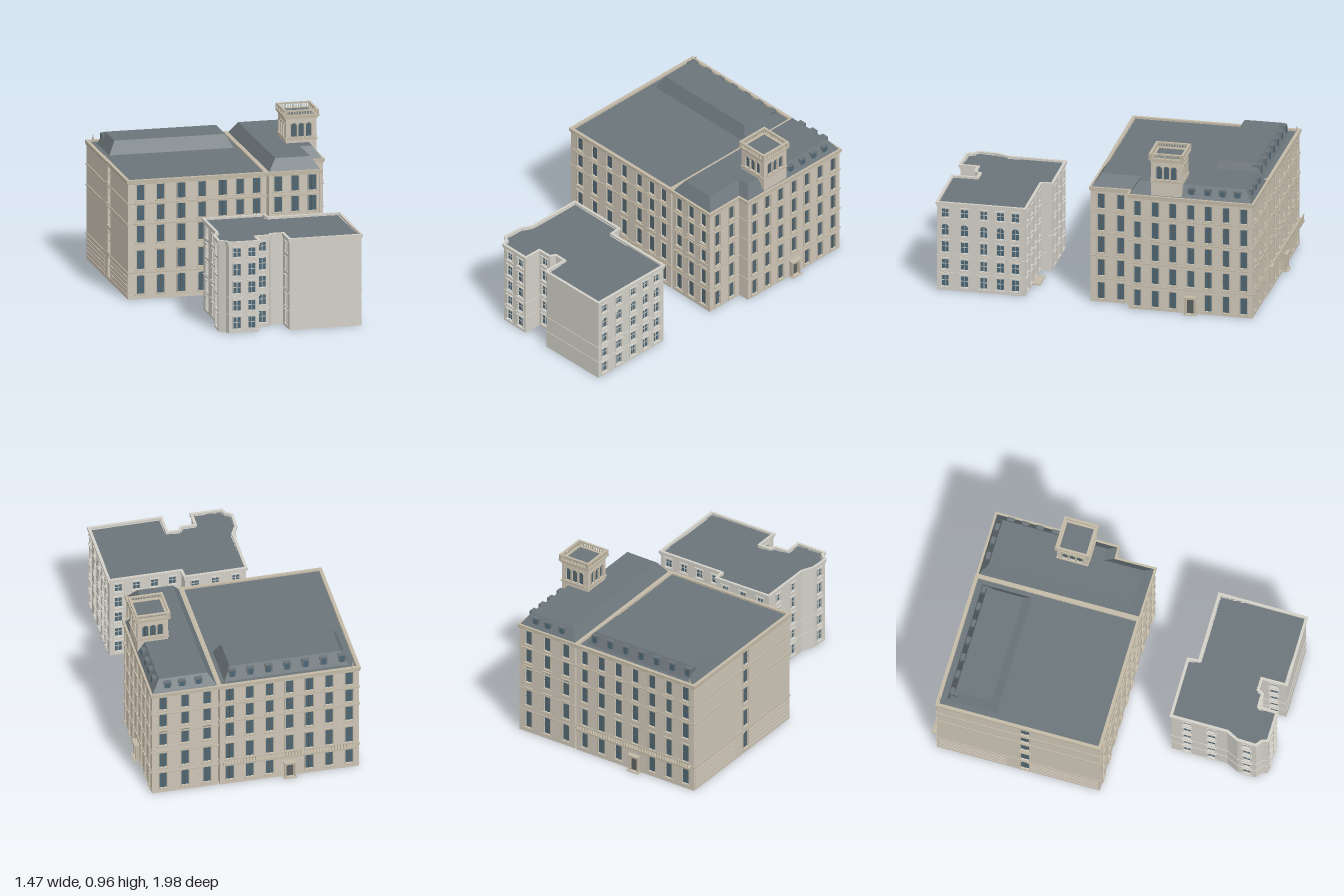
import * as THREE from 'three';
import { mergeGeometries } from 'three/addons/utils/BufferGeometryUtils.js';

const mat = (color) => new THREE.MeshStandardMaterial({ color, side: THREE.DoubleSide, flatShading: true });
const M = {
  stone: mat(0xcfc6b8), pale: mat(0xd2d0c7), trim: mat(0xc2b9a6),
  roof: mat(0x6b757a), glass: mat(0x4c6675), frame: mat(0x5a5f5e), light: mat(0xbfc2bd),
};

// Outlines as [x, z], running front left, front right, back right, back left
const MAIN = [[-0.567, 0.174], [0.25, 0.03], [0.082, -0.934], [-0.736, -0.794]];
const WING = [[0.246, 0.03], [0.567, -0.022], [0.525, -0.253], [0.594, -0.267], [0.472, -0.997], [0.075, -0.929]];
const TOWER = [[0.372, -0.36], [0.567, -0.394], [0.533, -0.588], [0.338, -0.554]];
const ANNEX = [[-0.05, 0.987], [0.14, 0.955], [0.124, 0.85], [0.203, 0.834], [0.214, 0.8], [0.272, 0.79],
  [0.298, 0.934], [0.73, 0.855], [0.64, 0.332], [0.224, 0.406], [0.208, 0.343], [-0.16, 0.41],
  [-0.103, 0.744], [-0.124, 0.818], [-0.108, 0.934], [-0.066, 0.955]];

// Floors as [sill, head, arch rise as a share of the width]
const MAIN_ROWS = [[0.03, 0.14, 0.2], [0.175, 0.285, 0], [0.33, 0.43, 0], [0.46, 0.55, 0], [0.58, 0.67, 0]];
const WING_ROWS = [[0.02, 0.12, 0], [0.16, 0.26, 0], [0.3, 0.4, 0], [0.435, 0.535, 0], [0.57, 0.66, 0]];
const ANNEX_ROWS = [[0.025, 0.093, 0], [0.13, 0.19, 0], [0.232, 0.298, 0], [0.335, 0.405, 0], [0.445, 0.497, 0]];
const ANNEX_ARCHED = ANNEX_ROWS.map((r, i) => (i === 3 ? [r[0], r[1], 0.5] : r));

const even = (n, m = 0.5) => Array.from({ length: n }, (_, i) => (i + m) / (n - 1 + 2 * m));

function mesh(parent, name, geos, material) {
  if (!geos.length) return;
  const m = new THREE.Mesh(mergeGeometries(geos.map((g) => (g.index ? g.toNonIndexed() : g))), material);
  m.name = name;
  parent.add(m);
}
const box = (w, h, d, x, y, z) => new THREE.BoxGeometry(w, h, d).translate(x, y, z);
const extrude = (shape, depth, z = 0) =>
  new THREE.ExtrudeGeometry(shape, { depth, bevelEnabled: false, curveSegments: 8 }).translate(0, 0, z);

// Mitred offset of an outline, positive outwards
function offset(poly, o) {
  const n = poly.length;
  const normal = (i) => {
    const a = poly[(i + n) % n], b = poly[(i + 1) % n], l = Math.hypot(b[0] - a[0], b[1] - a[1]);
    return [(a[1] - b[1]) / l, (b[0] - a[0]) / l];
  };
  return poly.map((p, i) => {
    const u = normal(i - 1), v = normal(i), k = o / (1 + u[0] * v[0] + u[1] * v[1]);
    return [p[0] + (u[0] + v[0]) * k, p[1] + (u[1] + v[1]) * k];
  });
}
const plan = (poly) => new THREE.Shape(poly.map(([x, z]) => new THREE.Vector2(x, -z)));
const slab = (poly, y, h) => extrude(plan(poly), h).rotateX(-Math.PI / 2).translate(0, y, 0);
function ring(poly, out, inn, y, h) {
  const s = plan(offset(poly, out));
  s.holes.push(plan(offset(poly, -inn)));
  return extrude(s, h).rotateX(-Math.PI / 2).translate(0, y, 0);
}

// Sloped roof skirt with a flat cap
function mansard(poly, inset, y0, y1) {
  const top = offset(poly, -inset), pos = [];
  poly.forEach((a, i) => {
    const j = (i + 1) % poly.length, b = poly[j], c = top[j], d = top[i];
    pos.push(a[0], y0, a[1], b[0], y0, b[1], c[0], y1, c[1], a[0], y0, a[1], c[0], y1, c[1], d[0], y1, d[1]);
  });
  const g = new THREE.BufferGeometry();
  g.setAttribute('position', new THREE.Float32BufferAttribute(pos, 3));
  g.setAttribute('uv', new THREE.Float32BufferAttribute(new Array(pos.length / 3 * 2).fill(0), 2));
  g.computeVertexNormals();
  return [g, slab(top, y1 - 0.003, 0.003)];
}

function opening(Type, x, y0, y1, w, rise, m = 0) {
  const p = new Type(), r = w / 2 + m, h = rise * w;
  p.moveTo(x - r, y0 - m);
  p.lineTo(x + r, y0 - m);
  p.lineTo(x + r, y1 - h + m);
  if (h) p.absellipse(x, y1 - h + m, r, h, 0, Math.PI, false);
  else p.lineTo(x - r, y1 + m);
  p.closePath();
  return p;
}

// One wall, local x along it and local z outwards, with windows cut through
function facade(parent, name, a, b, o) {
  const { y0 = 0, y1, cols = [], rows = [], w = 0.045, wall = M.stone, frame = M.frame, dormers = [], dormerZ = -0.035, skip } = o;
  const L = Math.hypot(b[0] - a[0], b[1] - a[1]), g = new THREE.Group();
  g.name = name;
  g.position.set(a[0], 0, a[1]);
  g.rotation.y = Math.atan2(a[1] - b[1], b[0] - a[0]);
  const shape = new THREE.Shape([[0, y0], [L, y0], [L, y1], [0, y1]].map((p) => new THREE.Vector2(...p)));
  const glass = [], bars = [], trim = [];
  cols.forEach((c, ci) => rows.forEach(([s, t, rise], ri) => {
    if (skip && skip(ci, ri)) return;
    const x = c * L, h = t - s;
    shape.holes.push(opening(THREE.Path, x, s, t, w, rise));
    glass.push(new THREE.ShapeGeometry(opening(THREE.Shape, x, s, t, w, rise), 6).translate(0, 0, -0.008));
    bars.push(box(0.004, h, 0.003, x, s + h / 2, -0.006), box(w, 0.003, 0.003, x, s + h * 0.52, -0.006));
    const surround = opening(THREE.Shape, x, s, t, w, rise, 0.005);
    surround.holes.push(opening(THREE.Path, x, s, t, w, rise));
    trim.push(extrude(surround, 0.004), box(w + 0.02, 0.006, 0.01, x, s - 0.005, 0.004));
    if (!rise && w > 0.04) trim.push(box(w + 0.016, 0.006, 0.01, x, t + 0.008, 0.004));
  }));
  // Dormers standing on the roof slope behind the wall
  const cheeks = dormers.map((c) => box(0.042, 0.06, 0.05, c * L, 0.725, dormerZ - 0.01));
  dormers.forEach((c) => glass.push(box(0.026, 0.04, 0.002, c * L, 0.727, dormerZ + 0.016)));
  mesh(g, 'wall', [extrude(shape, 0.012, -0.012)], wall);
  mesh(g, 'windowGlass', glass, M.glass);
  mesh(g, 'windowBars', bars, frame);
  mesh(g, 'windowTrim', trim, wall === M.pale ? M.pale : M.trim);
  mesh(g, 'dormers', cheeks, M.roof);
  parent.add(g);
  return { g, L };
}

// All walls of an outline, with options keyed by wall index
function walls(parent, name, poly, base, per) {
  const p = offset(poly, -0.009);
  return p.map((a, i) => facade(parent, name + 'Wall' + (i + 1), a, p[(i + 1) % p.length], { ...base, ...per[i] }));
}

// Door with posts, flat hood and step
function doorway({ g }, x) {
  mesh(g, 'door', [box(0.04, 0.085, 0.006, x, 0.043, 0.003)], M.frame);
  mesh(g, 'doorSurround', [box(0.072, 0.012, 0.03, x, 0.1, 0.015), box(0.08, 0.004, 0.034, x, 0.002, 0.017),
    ...[-0.028, 0.028].map((d) => box(0.01, 0.094, 0.022, x + d, 0.047, 0.011))], M.trim);
}

export function createModel() {
  const model = new THREE.Group();
  model.name = 'cityBlock';

  // Main block
  const main = new THREE.Group();
  main.name = 'mainBlock';
  const mw = walls(main, 'main', MAIN, { y1: 0.69, rows: MAIN_ROWS }, {
    0: { cols: [0.09, 0.235, 0.385, 0.535, 0.685, 0.81, 0.93] },
    2: { cols: even(7), dormers: even(7, 0.8), dormerZ: -0.072, skip: (c, r) => c === 3 && r === 0 },
    3: { cols: [0.54], w: 0.05 },
  });
  mesh(main, 'flatRoof', [slab(offset(MAIN, -0.008), 0.685, 0.005)], M.roof);
  mesh(main, 'cornice', [ring(MAIN, 0, 0.02, 0.684, 0.016), ring(MAIN, -0.004, 0.015, 0.674, 0.01)], M.trim);
  mesh(main, 'stringCourses', [0.155, 0.44, 0.56].map((y) => ring(MAIN, -0.004, 0.012, y - 0.004, 0.008)), M.trim);
  const uv = (u, v) => [-0.736 + u * 0.985 + v * 0.172, -0.794 - u * 0.17 + v * 0.985];
  mesh(main, 'atticRoof', mansard([uv(0.055, 0.35), uv(0.785, 0.35), uv(0.785, 0.055), uv(0.055, 0.055)], 0.04, 0.688, 0.765), M.roof);
  mesh(main, 'finial', [new THREE.CylinderGeometry(0.003, 0.006, 0.03, 8).translate(-0.69, 0.714, -0.785)], M.trim);
  // Back balcony and grooved ground floor
  const back = mw[2], L = back.L;
  doorway(back, L / 2);
  mesh(back.g, 'balcony', [box(L * 0.96, 0.012, 0.034, L / 2, 0.155, 0.017), box(L * 0.96, 0.005, 0.006, L / 2, 0.192, 0.03),
    ...even(44).map((t) => box(0.005, 0.03, 0.005, L * (0.02 + 0.96 * t), 0.176, 0.03))], M.trim);
  for (const { g, L: len } of [mw[3]])
    mesh(g, 'groundGrooves', [0.02, 0.045, 0.07, 0.095, 0.12].flatMap((y) =>
      [0.22, 0.78].map((t) => box(len * 0.42, 0.016, 0.004, len * t, y, 0.001))), M.stone);
  model.add(main);

  // Side wing with notch
  const wing = new THREE.Group();
  wing.name = 'sideWing';
  const ww = walls(wing, 'wing', WING, { y1: 0.69, rows: WING_ROWS }, {
    0: { cols: [0.18, 0.5, 0.83], rows: MAIN_ROWS },
    1: { cols: [0.26, 0.74], w: 0.04 },
    3: { cols: even(7), w: 0.04, dormers: [0.5, 0.63, 0.75, 0.87], skip: (c, r) => c === 3 && r === 0 },
    4: { cols: even(3), w: 0.045, rows: MAIN_ROWS, dormers: [0.25, 0.47, 0.72] },
  });
  doorway(ww[3], ww[3].L / 2);
  mesh(wing, 'cornice', [ring(WING, 0, 0.018, 0.684, 0.014), ring(WING, -0.004, 0.014, 0.674, 0.01)], M.trim);
  mesh(wing, 'stringCourses', [0.142, 0.28, 0.418, 0.553].map((y) => ring(WING, -0.004, 0.012, y - 0.003, 0.006)), M.trim);
  mesh(wing, 'mansardRoof', mansard(offset(WING, -0.008), 0.052, 0.69, 0.765), M.roof);
  model.add(wing);

  // Lookout tower
  const tower = new THREE.Group();
  tower.name = 'tower';
  const bay = { cols: [0.26, 0.5, 0.74], w: 0.034, rows: [[0.8, 0.88, 0.5]] };
  walls(tower, 'tower', TOWER, { y0: 0.68, y1: 0.92, ...bay }, {});
  mesh(tower, 'towerCornice', [ring(TOWER, 0.004, 0.02, 0.918, 0.01), ring(TOWER, -0.003, 0.012, 0.906, 0.012),
    ring(TOWER, -0.004, 0.012, 0.782, 0.008), ring(TOWER, 0.002, 0.012, 0.95, 0.008)], M.trim);
  mesh(tower, 'towerDeck', [slab(offset(TOWER, -0.01), 0.915, 0.01)], M.roof);
  const rail = offset(TOWER, -0.005);
  mesh(tower, 'balusters', rail.flatMap((a, i) => {
    const b = rail[(i + 1) % 4];
    return Array.from({ length: 12 }, (_, k) => {
      const t = k / 12, w = k ? 0.006 : 0.016;
      return box(w, 0.026, w, a[0] + (b[0] - a[0]) * t, 0.939, a[1] + (b[1] - a[1]) * t);
    });
  }), M.trim);
  model.add(tower);

  // Detached annex
  const annex = new THREE.Group();
  annex.name = 'annex';
  walls(annex, 'annex', ANNEX, { y1: 0.525, rows: ANNEX_ROWS, w: 0.042, wall: M.pale, frame: M.light }, {
    0: { cols: [0.27, 0.76] },
    2: { cols: [0.52] },
    5: { cols: [0.5] },
    7: { cols: [0.09, 0.31, 0.53, 0.72, 0.89], rows: ANNEX_ARCHED },
    8: { cols: even(4) },
    10: { cols: even(3) },
    11: { cols: [0.28, 0.72] },
    13: { cols: [0.5] },
  });
  mesh(annex, 'flatRoof', [slab(offset(ANNEX, -0.01), 0.52, 0.005)], M.roof);
  mesh(annex, 'parapet', [ring(ANNEX, 0, 0.016, 0.522, 0.015), ring(ANNEX, -0.005, 0.012, 0.51, 0.012)], M.pale);
  mesh(annex, 'stringCourses', [0.11, 0.212].map((y) => ring(ANNEX, -0.006, 0.012, y - 0.002, 0.004)), M.pale);
  mesh(annex, 'backStep', [box(0.14, 0.006, 0.05, 0, 0.003, 0).rotateY(0.175).translate(0.375, 0, 0.365)], M.trim);
  model.add(annex);
  return model;
}
